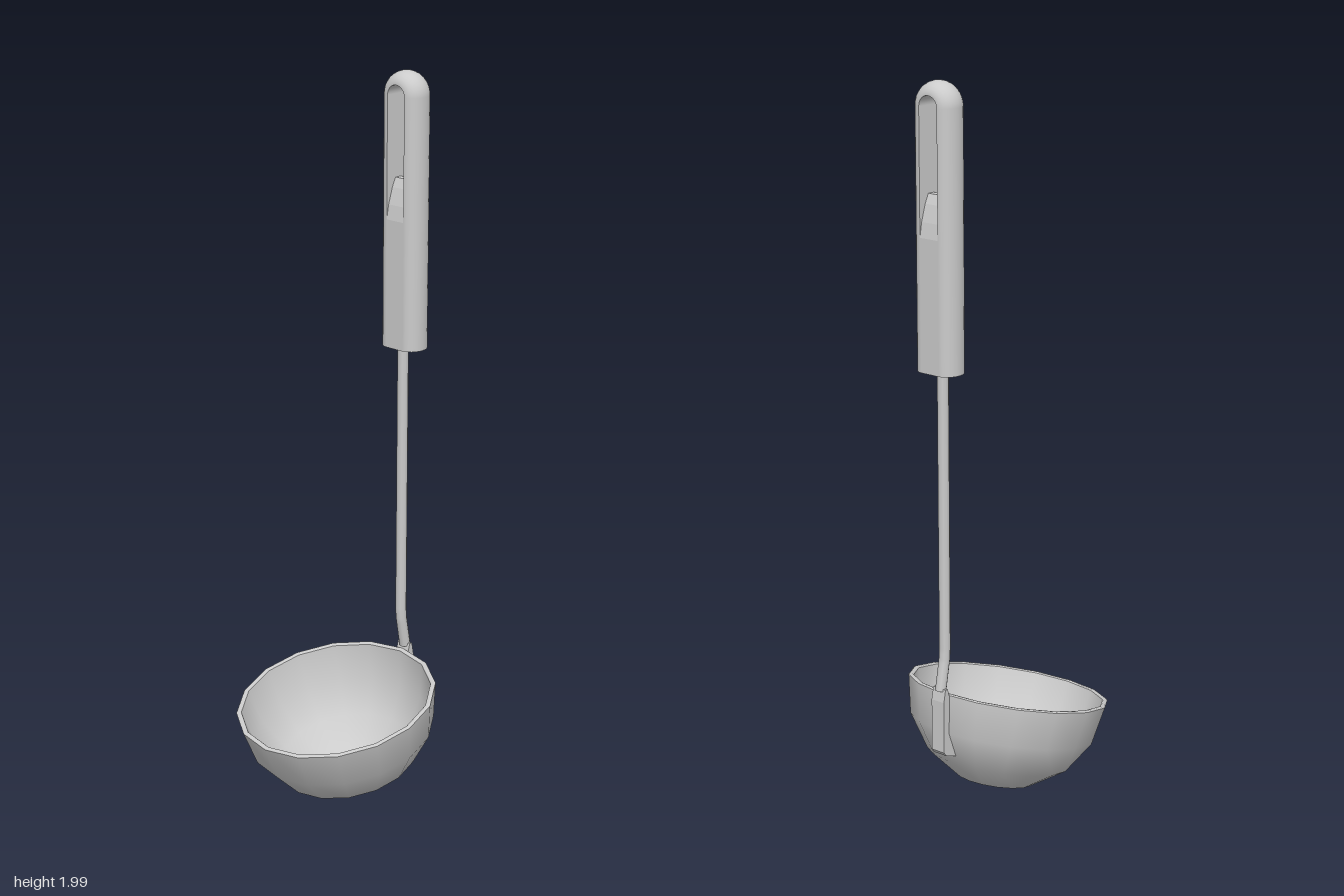
import * as THREE from 'three';
import { ParametricGeometry } from 'three/addons/geometries/ParametricGeometry.js';

const mat = new THREE.MeshStandardMaterial({ color: 0xcccccc });
const thin = new THREE.MeshStandardMaterial({ color: 0xcccccc, side: THREE.DoubleSide });

function add(parent, name, geometry, material = mat) {
  const mesh = new THREE.Mesh(geometry, material);
  mesh.name = name;
  parent.add(mesh);
  return mesh;
}

// Extrude a side profile of [z, y] points across x, centred on x = 0
function sideExtrude(points, width) {
  const shape = new THREE.Shape(points.map(([z, y]) => new THREE.Vector2(z, y)));
  const geo = new THREE.ExtrudeGeometry(shape, { depth: width, bevelEnabled: false });
  return geo.rotateY(-Math.PI / 2).translate(width / 2, 0, 0);
}

// Thin hemispherical bowl, tilted towards the front
function createBowl() {
  const bowl = new THREE.Group();
  bowl.name = 'bowl';
  const R = 0.28, r = 0.266, steps = 4;
  const outer = [], inner = [];
  for (let i = 0; i <= steps; i++) {
    const a = (i / steps) * Math.PI / 2;
    outer.push(new THREE.Vector2(R * Math.sin(a), -R * Math.cos(a)));
    inner.unshift(new THREE.Vector2(r * Math.sin(a), -r * Math.cos(a)));
  }
  const rim = [[R, 0], [R - 0.003, 0.003], [r + 0.003, 0.003], [r, 0]]
    .map(([x, y]) => new THREE.Vector2(x, y));
  add(bowl, 'bowlOutside', new THREE.LatheGeometry(outer, 16));
  add(bowl, 'bowlInside', new THREE.LatheGeometry(inner, 16));
  add(bowl, 'bowlRim', new THREE.LatheGeometry(rim, 16), thin);
  bowl.position.set(0, 0.285, 0.02);
  bowl.rotation.x = THREE.MathUtils.degToRad(13.5);
  return bowl;
}

// Slotted grip: an arch with a rounded outside and flat inside, around a core
function createHandle() {
  const handle = new THREE.Group();
  handle.name = 'handle';
  const bottom = 1.245, archY = 1.935, slot = 0.03, bulge = 0.035, depth = 0.043;
  const arcs = 16, slices = arcs + 2;

  // Point at distance d from the arch's centre line: right arm, arch, left arm
  function onArch(u, d, z, target) {
    const s = u * slices;
    if (s <= 1) target.set(d, bottom + (archY - bottom) * s, z);
    else if (s >= slices - 1) target.set(-d, bottom + (archY - bottom) * (slices - s), z);
    else {
      const a = ((s - 1) / arcs) * Math.PI;
      target.set(d * Math.cos(a), archY + d * Math.sin(a), z);
    }
  }
  add(handle, 'gripOutside', new ParametricGeometry((u, v, p) => {
    const a = (v - 0.5) * Math.PI;
    onArch(u, slot + bulge * Math.cos(a), depth * Math.sin(a), p);
  }, slices, 12));
  add(handle, 'gripSlotWall', new ParametricGeometry((u, v, p) => {
    onArch(u, slot, depth * (1 - 2 * v), p);
  }, slices, 1));

  // Core between the arms, ending in a wedge at the foot of the slot
  add(handle, 'gripCore', sideExtrude([
    [-depth, bottom], [depth, bottom], [depth, 1.6], [0.036, 1.64],
    [0.022, 1.685], [0.01, 1.71], [-0.01, 1.71], [-0.022, 1.685],
    [-0.036, 1.64], [-depth, 1.6],
  ], slot * 2));

  // Flat end of the grip
  const end = new THREE.Shape();
  end.moveTo(-slot, -depth);
  end.lineTo(slot, -depth);
  end.absellipse(slot, 0, bulge, depth, -Math.PI / 2, Math.PI / 2);
  end.lineTo(-slot, depth);
  end.absellipse(-slot, 0, bulge, depth, Math.PI / 2, Math.PI * 1.5);
  add(handle, 'gripEnd', new THREE.ShapeGeometry(end).rotateX(Math.PI / 2).translate(0, bottom, 0));

  handle.position.z = -0.249;
  return handle;
}

export function createModel() {
  const ladle = new THREE.Group();
  ladle.name = 'ladle';
  ladle.add(createBowl(), createHandle());

  // Rod with a slight backward bend at its foot
  const path = new THREE.CurvePath();
  const pts = [[1.26, -0.242], [0.48, -0.242], [0.45, -0.244], [0.362, -0.26]]
    .map(([y, z]) => new THREE.Vector3(0, y, z));
  for (let i = 1; i < pts.length; i++) path.add(new THREE.LineCurve3(pts[i - 1], pts[i]));
  add(ladle, 'rod', new THREE.TubeGeometry(path, 60, 0.0155, 10), thin);

  // Bracket that joins the rod to the back of the bowl
  add(ladle, 'bracket', sideExtrude([
    [-0.265, 0.37], [-0.272, 0.335], [-0.272, 0.19], [-0.262, 0.178],
    [-0.222, 0.165], [-0.25, 0.25], [-0.249, 0.345], [-0.256, 0.37],
  ], 0.044));
  return ladle;
}
